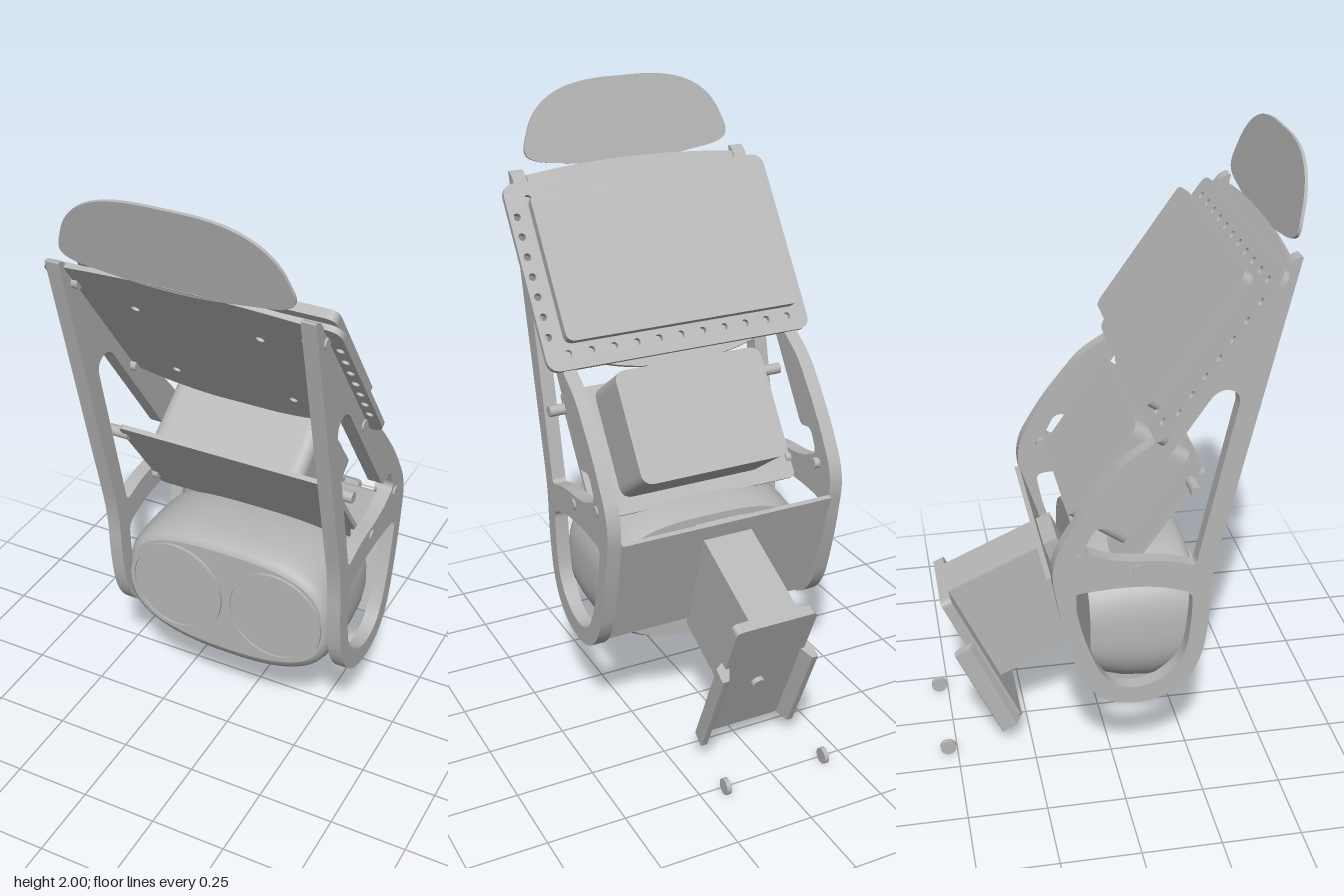
import * as THREE from 'three';

const grey = new THREE.MeshStandardMaterial({ color: 0xb6b6b6 });
grey.name = 'plain grey';
const TILT = 0.611; // slope shared by the trays and the screen

// Closed outline from [x, y, cornerRadius] points
function outline(pts, Type = THREE.Shape) {
  const s = new Type();
  const n = pts.length;
  pts.forEach(([x, y, r = 0.01], i) => {
    const p = new THREE.Vector2(x, y);
    const a = new THREE.Vector2(...pts[(i + n - 1) % n].slice(0, 2)).sub(p);
    const b = new THREE.Vector2(...pts[(i + 1) % n].slice(0, 2)).sub(p);
    a.setLength(Math.min(r, a.length() * 0.49)).add(p);
    b.setLength(Math.min(r, b.length() * 0.49)).add(p);
    if (i === 0) s.moveTo(a.x, a.y); else s.lineTo(a.x, a.y);
    s.quadraticCurveTo(x, y, b.x, b.y);
  });
  s.closePath();
  return s;
}

const roundRect = (w, h, r) => outline([
  [-w / 2, -h / 2, r], [w / 2, -h / 2, r], [w / 2, h / 2, r], [-w / 2, h / 2, r]]);

function drill(shape, x, y, r) {
  const hole = new THREE.Path();
  hole.absarc(x, y, r, 0, Math.PI * 2, true);
  shape.holes.push(hole);
}

// Extruded plate, centred on its own thickness
function plate(shape, depth) {
  const g = new THREE.ExtrudeGeometry(shape, { depth, bevelEnabled: false, curveSegments: 10 });
  return g.translate(0, 0, -depth / 2);
}

function add(parent, name, geometry, x = 0, y = 0, z = 0, rx = 0) {
  const m = new THREE.Mesh(geometry, grey);
  m.name = name;
  m.position.set(x, y, z);
  m.rotation.x = rx;
  parent.add(m);
  return m;
}

// Rounded drum lofted through [z, halfWidth, top, bottom] sections
function podGeometry() {
  const rows = [
    [-0.085, 0.345, 0.72, 0.305], [-0.04, 0.355, 0.74, 0.28], [0.03, 0.36, 0.755, 0.255],
    [0.11, 0.362, 0.76, 0.245], [0.18, 0.362, 0.757, 0.26], [0.225, 0.36, 0.748, 0.285],
    [0.247, 0.354, 0.735, 0.31], [0.256, 0.343, 0.715, 0.33]];
  const N = 64, pos = [], idx = [], mid = 0.51;
  const ring = ([z, w, top, bottom]) => {
    for (let i = 0; i < N; i++) {
      const t = (i / N) * Math.PI * 2, c = Math.cos(t), s = Math.sin(t);
      const e = 2 / (s > 0 ? 3 : 2.5);
      const h = s > 0 ? top - mid : mid - bottom;
      pos.push(Math.sign(c) * Math.abs(c) ** e * w, mid + Math.sign(s) * Math.abs(s) ** e * h, z);
    }
  };
  rows.forEach(ring);
  for (let k = 0; k < rows.length - 1; k++) {
    for (let i = 0; i < N; i++) {
      const a = k * N + i, b = k * N + (i + 1) % N;
      idx.push(a, b, b + N, a, b + N, a + N);
    }
  }
  // flat ends on their own vertices
  [[rows[0], false], [rows[rows.length - 1], true]].forEach(([row, front]) => {
    const base = pos.length / 3;
    ring(row);
    pos.push(0, mid, row[0]);
    for (let i = 0; i < N; i++) {
      const a = base + i, b = base + (i + 1) % N;
      if (front) idx.push(a, b, base + N); else idx.push(b, a, base + N);
    }
  });
  const g = new THREE.BufferGeometry();
  g.setAttribute('position', new THREE.Float32BufferAttribute(pos, 3));
  g.setIndex(idx);
  g.computeVertexNormals();
  return g;
}

export function createModel() {
  const model = new THREE.Group();
  model.name = 'framed stand';

  // Side frames, drawn as (z, y)
  const frame = outline([
    [0.5, 1.75], [0.275, 0.75, 0.1], [0.275, 0.6, 0.1], [0.25, 0.42, 0.1], [0.15, 0.31, 0.1],
    [-0.02, 0.3, 0.1], [-0.12, 0.39, 0.08], [-0.18, 0.6, 0.1], [-0.22, 0.83, 0.08],
    [-0.12, 1.0, 0.08], [0.01, 1.16, 0.05], [0.1, 1.215, 0.02], [0.47, 1.74, 0.02]]);
  frame.holes.push(
    outline([[0.345, 1.35, 0.05], [0.275, 1.37, 0.05], [-0.02, 0.935, 0.02], [-0.08, 0.95, 0.03],
      [-0.12, 0.87, 0.03], [-0.02, 0.825, 0.08], [0.13, 0.815, 0.06], [0.225, 0.785, 0.02]], THREE.Path),
    outline([[0.22, 0.69, 0.03], [0.12, 0.725, 0.08], [0, 0.735, 0.08], [-0.15, 0.725, 0.03],
      [-0.12, 0.57, 0.08], [-0.06, 0.41, 0.08], [0.01, 0.36, 0.06], [0.11, 0.37, 0.08],
      [0.2, 0.45, 0.08], [0.217, 0.58, 0.08]], THREE.Path));
  const frameGeo = plate(frame, 0.045).rotateY(-Math.PI / 2);
  const stud = new THREE.CylinderGeometry(0.018, 0.018, 0.07, 20).rotateZ(Math.PI / 2);
  for (const side of [1, -1]) {
    const label = side > 0 ? 'left' : 'right';
    add(model, label + 'Frame', frameGeo, side * 0.3875);
    [[0.43, 1.66], [0.15, 1.25], [0.22, 1.04], [0.05, 0.79], [-0.13, 0.845]].forEach(([z, y]) =>
      add(model, label + 'Bolt', stud, side * 0.381, y, z));
  }

  // Upper backing panel with curved top and bottom edges
  const panel = new THREE.Shape();
  panel.moveTo(-0.362, -0.265);
  panel.quadraticCurveTo(-0.22, -0.348, 0, -0.348);
  panel.quadraticCurveTo(0.22, -0.348, 0.362, -0.265);
  panel.lineTo(0.362, 0.325);
  panel.quadraticCurveTo(0, 0.37, -0.362, 0.325);
  panel.closePath();
  for (const x of [-0.195, 0.195]) for (const y of [-0.21, 0.165]) drill(panel, x, y, 0.013);
  add(model, 'backingPanel', plate(panel, 0.015), 0, 1.465, 0.288, TILT);

  // Perforated tray and the pad held above it
  const tray = roundRect(0.914, 0.61, 0.045);
  for (let i = -5; i <= 5; i++) for (const y of [-0.255, 0.25]) drill(tray, i * 0.0765, y, 0.012);
  for (let i = -3; i <= 3; i++) for (const x of [-0.432, 0.432]) drill(tray, x, i * 0.065, 0.012);
  add(model, 'perforatedTray', plate(tray, 0.018), 0, 1.467, 0.272, TILT);
  add(model, 'keyPad', plate(roundRect(0.806, 0.473, 0.03), 0.03), 0, 1.507, 0.217, TILT);

  // Thin rounded head plate
  const head = outline([
    [-0.32, 0.015, 0.05], [0, -0.025, 0.25], [0.32, 0.015, 0.05], [0.362, 0.045, 0.04],
    [0.31, 0.185, 0.1], [0.17, 0.257, 0.12], [-0.17, 0.257, 0.12], [-0.31, 0.185, 0.1],
    [-0.362, 0.045, 0.04]]);
  add(model, 'headPlate', plate(head, 0.01), 0, 1.75, 0.488, 0.235);

  // Middle screen with the case behind it
  const screen = new THREE.Group();
  screen.name = 'screenUnit';
  screen.position.set(0, 0.91, 0.13);
  screen.rotation.x = TILT;
  model.add(screen);
  add(screen, 'screenPlate', plate(roundRect(0.725, 0.427, 0.02), 0.015));
  add(screen, 'screenCase', plate(roundRect(0.508, 0.365, 0.04), 0.21), 0, 0.02, -0.105);

  // Round-sided pod with two large lenses
  add(model, 'pod', podGeometry());
  const lensProfile = [[0, 0.006], [0.152, 0.006], [0.152, 0.012], [0.166, 0.012], [0.166, -0.05]]
    .map(([r, y]) => new THREE.Vector2(r, y)).reverse();
  const lensGeo = new THREE.LatheGeometry(lensProfile, 48).toNonIndexed();
  lensGeo.computeVertexNormals();
  lensGeo.rotateX(Math.PI / 2);
  for (const x of [-0.175, 0.175]) add(model, x > 0 ? 'leftLens' : 'rightLens', lensGeo, x, 0.527, 0.254);

  // Sloped back plate closing the lower frame
  add(model, 'backPlate', new THREE.BoxGeometry(0.73, 0.41, 0.016), 0, 0.565, -0.15, -0.32);

  // Rear arm with its mounting channel
  const arm = new THREE.Group();
  arm.name = 'rearArm';
  arm.position.set(0, 0.558, -0.529);
  arm.rotation.x = -0.424;
  model.add(arm);
  add(arm, 'armBeam', new THREE.BoxGeometry(0.168, 0.38, 0.39), 0, -0.19, 0.225);
  add(arm, 'mountPlate', plate(roundRect(0.276, 0.53, 0.02), 0.035), 0, -0.265, 0.018);
  for (const s of [-1, 1]) {
    const flange = outline([[s * 0.125, 0.035], [s * 0.165, 0.01], [s * 0.168, -0.042], [s * 0.145, -0.042],
      [s * 0.125, 0]].map(([x, z]) => [x, z, 0.005]));
    add(arm, 'channelFlange', plate(flange, 0.35).rotateX(Math.PI / 2), 0, -0.355, 0);
  }
  add(arm, 'mountScrew', new THREE.CylinderGeometry(0.022, 0.022, 0.02, 20).rotateX(Math.PI / 2), 0, -0.3, -0.005);

  // Loose end discs below the arm
  const disc = new THREE.CylinderGeometry(0.026, 0.026, 0.015, 24).rotateZ(Math.PI / 2);
  for (const x of [-0.174, 0.174]) add(model, 'endDisc', disc, x, 0.027, -0.53);

  return model;
}
